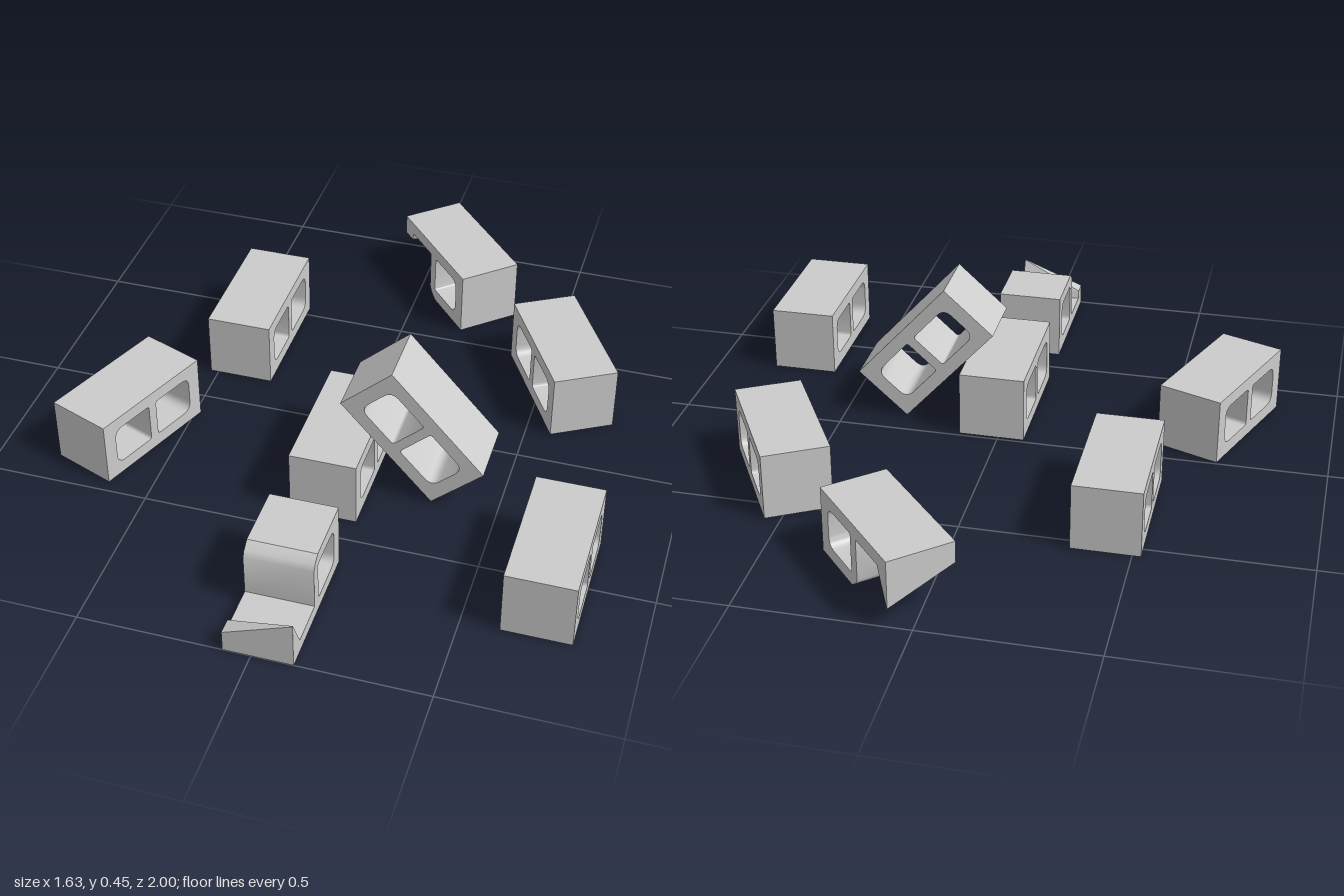
import * as THREE from 'three';
import { toCreasedNormals } from 'three/addons/utils/BufferGeometryUtils.js';

const L = 0.41, W = 0.2, H = 0.203;      // block length (z), width (x), height (y)
const WALL = 0.04, WEB = 0.015;          // shell thickness, half of the middle web
const material = new THREE.MeshStandardMaterial({ color: 0xcccccc });

// One core hole; side is +1 or -1 along the block. Outer corners are rounder than inner ones.
function coreHole(side) {
  const inner = side * WEB, outer = side * (L / 2 - 0.045);
  const lo = WALL, hi = H - WALL, R = 0.032 * side, r = 0.01 * side;
  const p = new THREE.Path();
  p.moveTo(inner + r, lo);
  p.lineTo(outer - R, lo);
  p.quadraticCurveTo(outer, lo, outer, lo + 0.032);
  p.lineTo(outer, hi - 0.032);
  p.quadraticCurveTo(outer, hi, outer - R, hi);
  p.lineTo(inner + r, hi);
  p.quadraticCurveTo(inner, hi, inner, hi - 0.01);
  p.lineTo(inner, lo + 0.01);
  p.quadraticCurveTo(inner, lo, inner + r, lo);
  return p;
}

// Extrude a (length, height) profile across the block's width
function extrudeAcross(points, holes) {
  const shape = new THREE.Shape(points.map(([z, y]) => new THREE.Vector2(z, y)));
  shape.holes = holes;
  const geo = new THREE.ExtrudeGeometry(shape, { depth: W, bevelEnabled: false, curveSegments: 6 });
  geo.translate(0, 0, -W / 2);
  geo.rotateY(-Math.PI / 2);
  return toCreasedNormals(geo, 0.6);
}

// Remnant of the broken end wall: a slanted break, tall on +x and low on -x
function brokenLip() {
  const e = L / 2;
  const section = (x, h, zi) =>
    [[0.15, 0], [e, 0], [e, h], [zi, h], [0.15, WALL]].map(([z, y]) => [x, y, z]);
  const a = section(-W / 2, 0.065, 0.157), b = section(W / 2, 0.145, 0.202);
  const pos = [], n = a.length;
  const tri = (...pts) => pts.forEach((p) => pos.push(...p));
  for (let i = 0; i < n; i++) {
    const j = (i + 1) % n;
    tri(a[i], b[i], b[j]);
    tri(a[i], b[j], a[j]);
    if (i > 0 && j > 0) {
      tri(a[0], a[i], a[j]);
      tri(b[0], b[j], b[i]);
    }
  }
  const geo = new THREE.BufferGeometry();
  geo.setAttribute('position', new THREE.Float32BufferAttribute(pos, 3));
  geo.computeVertexNormals();
  return geo;
}

export function createModel() {
  const model = new THREE.Group();
  model.name = 'concreteBlocks';
  const e = L / 2;

  const wholeGeo = extrudeAcross(
    [[-e, 0], [e, 0], [e, H], [-e, H]], [coreHole(-1), coreHole(1)]);
  // Broken block: one intact cell, then only the floor slab
  const brokenGeo = extrudeAcross(
    [[-e, 0], [0.15, 0], [0.15, WALL], [0.02, WALL], [0.02, 0.168], [0.01, 0.185],
      [-0.015, H], [-e, H]], [coreHole(-1)]);
  const lipGeo = brokenLip();

  const addMesh = (parent, name, geo) => {
    const mesh = new THREE.Mesh(geo, material);
    mesh.name = name;
    parent.add(mesh);
    return mesh;
  };

  // Whole blocks lying on the ground: x, z, turn
  [
    [-0.425, -0.333, 0],
    [-0.65, 0.235, -0.365],
    [0.02, 0.217, 0],
    [0.712, 0.515, 0],
    [0.562, -0.35, 0.517],
  ].forEach(([x, z, turn], i) => {
    const block = addMesh(model, `wholeBlock${i + 1}`, wholeGeo);
    block.position.set(x, 0, z);
    block.rotation.y = turn;
  });

  // Block leaning against its neighbour
  const leaning = addMesh(model, 'leaningBlock', wholeGeo);
  leaning.rotation.set(0, Math.PI / 2, -0.838, 'ZYX');
  leaning.position.set(0.168, 0.157, 0.18);

  // Broken blocks: one upright, one upside down
  const addBroken = (name) => {
    const group = new THREE.Group();
    group.name = name;
    addMesh(group, 'brokenShell', brokenGeo);
    addMesh(group, 'brokenEndWall', lipGeo);
    model.add(group);
    return group;
  };
  addBroken('brokenBlockFront').position.set(0.02, 0, 0.795);
  const flipped = addBroken('brokenBlockBack');
  flipped.position.set(0.126, H, -0.782);
  flipped.rotation.set(0, -2.42, Math.PI);

  return model;
}
